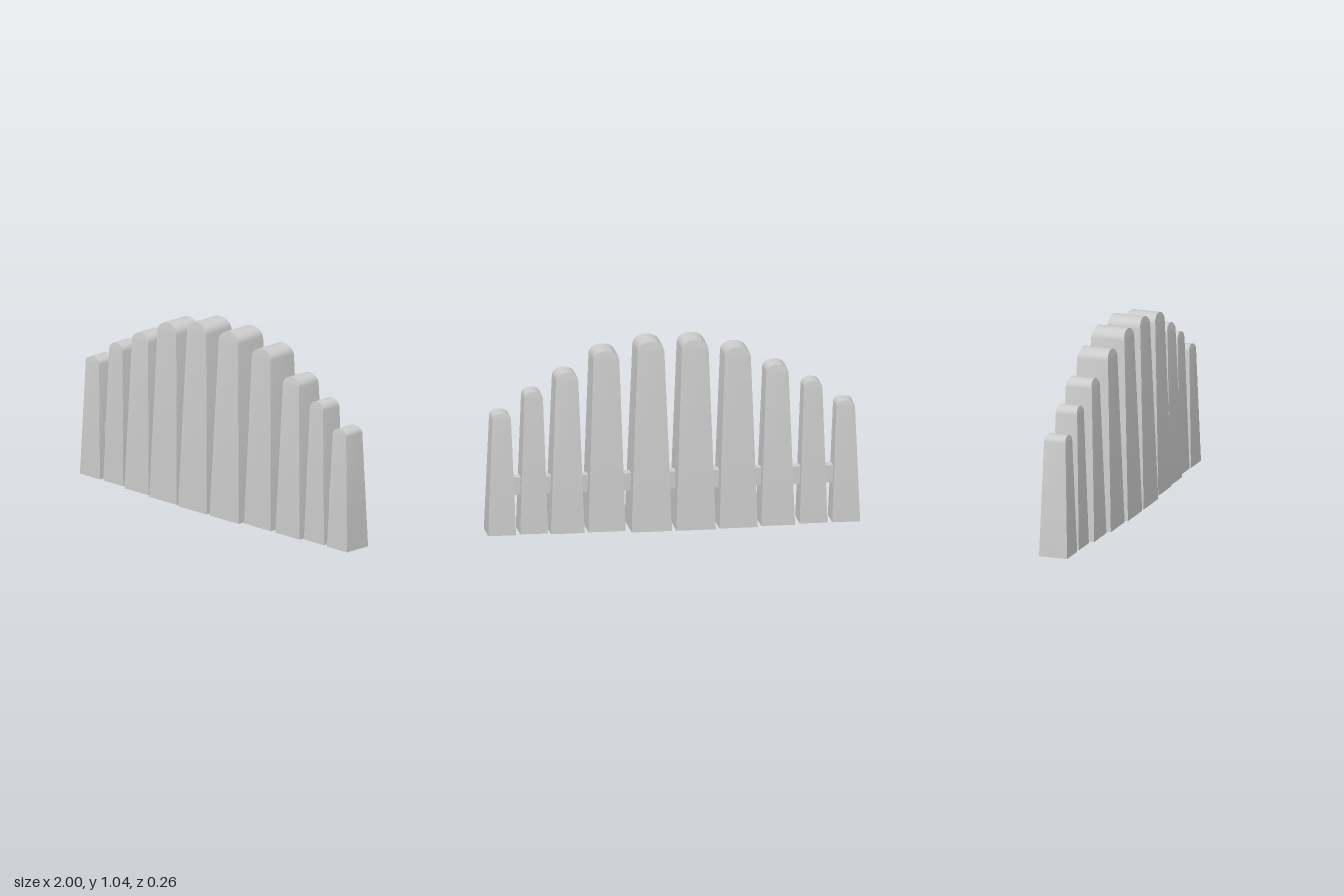
import * as THREE from 'three';
import { toCreasedNormals } from 'three/addons/utils/BufferGeometryUtils.js';

const material = new THREE.MeshStandardMaterial({ color: 0xcccccc });

// x centre, base y, half width at base and shoulder, shoulder y, apex y,
// half depth at base, shoulder and apex
const SLATS = [
  [-0.925, 0.003, 0.075, 0.050, 0.635, 0.665, 0.080, 0.061, 0.055],
  [-0.750, 0.003, 0.075, 0.050, 0.742, 0.780, 0.080, 0.061, 0.055],
  [-0.556, 0.003, 0.091, 0.060, 0.838, 0.880, 0.100, 0.074, 0.065],
  [-0.341, 0.003, 0.103, 0.070, 0.937, 0.986, 0.117, 0.088, 0.080],
  [-0.111, 0.003, 0.106, 0.072, 0.988, 1.038, 0.128, 0.095, 0.086],
  [0.127, 0.003, 0.109, 0.072, 0.988, 1.038, 0.128, 0.095, 0.086],
  [0.366, 0.010, 0.100, 0.070, 0.946, 0.995, 0.117, 0.088, 0.080],
  [0.575, 0.003, 0.091, 0.060, 0.838, 0.880, 0.100, 0.074, 0.065],
  [0.753, 0.003, 0.075, 0.050, 0.742, 0.780, 0.080, 0.061, 0.055],
  [0.925, 0.000, 0.075, 0.050, 0.635, 0.665, 0.080, 0.061, 0.055],
];

// Tapered slat with a rounded top: each row of a subdivided box gets its own size
function slatGeometry([, y0, w0, w1, y1, y2, d0, d1, d2]) {
  const rows = [[y0, w0, d0]];
  const arcSteps = 4, lastAngle = THREE.MathUtils.degToRad(78);
  for (let i = 0; i <= arcSteps; i++) {
    const a = lastAngle * i / arcSteps;
    const t = Math.sin(a) / Math.sin(lastAngle);
    rows.push([y1 + (y2 - y1) * t, w1 * Math.cos(a), d1 + (d2 - d1) * t]);
  }
  const count = rows.length - 1;
  const geometry = new THREE.BoxGeometry(2, count, 2, 1, count, 1);
  const p = geometry.attributes.position;
  for (let i = 0; i < p.count; i++) {
    const [y, w, d] = rows[Math.round(p.getY(i) + count / 2)];
    p.setXYZ(i, p.getX(i) * w, y, p.getZ(i) * d);
  }
  return toCreasedNormals(geometry, 0.7);
}

export function createModel() {
  const model = new THREE.Group();
  model.name = 'archedFence';

  // Row of slats
  SLATS.forEach((slat, i) => {
    const mesh = new THREE.Mesh(slatGeometry(slat), material);
    mesh.name = `slat${i + 1}`;
    mesh.position.x = slat[0];
    model.add(mesh);
  });

  // Rail running through all slats
  const rail = new THREE.Mesh(new THREE.BoxGeometry(1.85, 0.095, 0.066), material);
  rail.name = 'rail';
  rail.position.y = 0.257;
  model.add(rail);

  return model;
}
